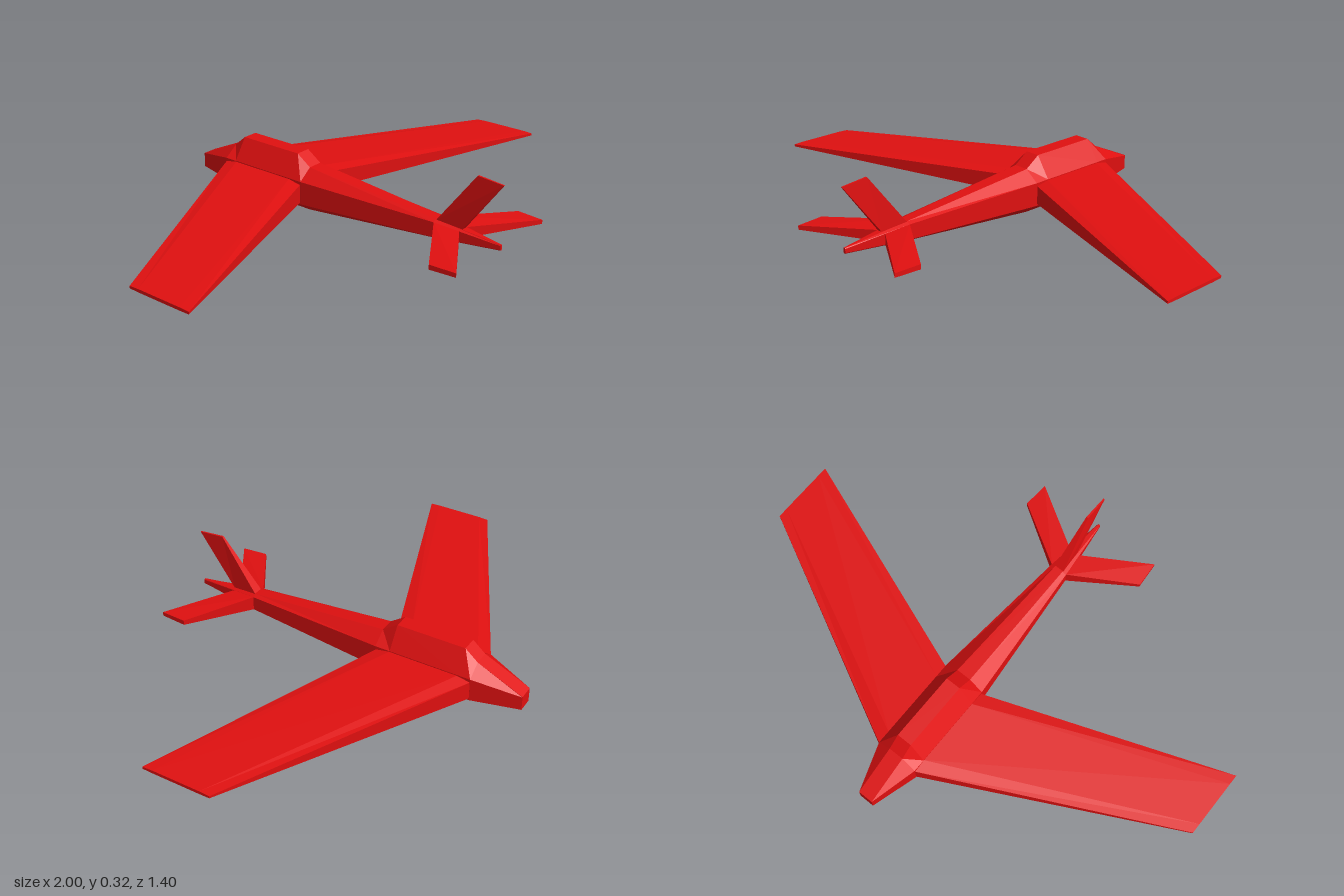
import * as THREE from 'three';

// Skins a list of closed rings and caps both ends; rings run anticlockwise seen from the far end.
function loft(rings, flip = false) {
  const pos = [];
  const tri = (a, b, c) => pos.push(...a, ...(flip ? c : b), ...(flip ? b : c));
  const n = rings[0].length;
  for (let i = 0; i < rings.length - 1; i++) {
    for (let j = 0; j < n; j++) {
      const k = (j + 1) % n;
      const [a, b, c, d] = [rings[i][j], rings[i][k], rings[i + 1][k], rings[i + 1][j]];
      tri(a, b, c);
      tri(a, c, d);
    }
  }
  const first = rings[0], last = rings[rings.length - 1];
  for (let j = 1; j < n - 1; j++) {
    tri(first[0], first[j + 1], first[j]);
    tri(last[0], last[j], last[j + 1]);
  }
  const geo = new THREE.BufferGeometry();
  geo.setAttribute('position', new THREE.Float32BufferAttribute(pos, 3));
  geo.computeVertexNormals();
  return geo;
}

// Eight-sided body section: flat bottom, upright flanks, sloping shoulders, flat top.
function bodyRing([z, flatHalf, sideHalf, bottom, sideLow, sideHigh, top]) {
  const right = [[flatHalf, bottom], [sideHalf, sideLow], [sideHalf, sideHigh], [flatHalf, top]];
  const left = right.map(([x, y]) => [-x, y]).reverse();
  return [...right, ...left].map(([x, y]) => [x, y, z]);
}

// Wing section from [x, z, lowY, highY] stations listed front to back.
function wingRing(stations) {
  const upper = stations.map(([x, z, , hi]) => [x, hi, z]);
  const lower = stations.map(([x, z, lo]) => [x, lo, z]).reverse();
  return [...upper, ...lower];
}

export function createModel() {
  const model = new THREE.Group();
  model.name = 'airplane';
  const red = new THREE.MeshStandardMaterial({ color: 0xe01010, flatShading: true });
  red.name = 'red';

  const add = (name, geo) => {
    const mesh = new THREE.Mesh(geo, red);
    mesh.name = name;
    model.add(mesh);
  };

  // Fuselage from nose to tail, with the raised cabin in the middle
  add('fuselage', loft([
    [-0.70, 0.03, 0.03, 0.033, 0.033, 0.088, 0.09],
    [-0.52, 0.03, 0.085, 0, 0.04, 0.132, 0.172],
    [-0.47, 0.03, 0.085, 0, 0.04, 0.132, 0.215],
    [-0.195, 0.03, 0.085, 0, 0.04, 0.132, 0.215],
    [-0.135, 0.03, 0.085, 0, 0.04, 0.132, 0.174],
    [0.44, 0.018, 0.035, 0.05, 0.06, 0.117, 0.124],
    [0.70, 0.003, 0.005, 0.075, 0.078, 0.093, 0.096],
  ].map(bodyRing)));

  // Swept main wings and tailplanes, mirrored
  const wingRoot = [
    [0.08, -0.522, 0.047, 0.119], [0.08, -0.47, 0.041, 0.129],
    [0.08, -0.195, 0.041, 0.129], [0.08, -0.14, 0.047, 0.119],
  ];
  const wingTip = [
    [1, -0.06, 0.083, 0.092], [1, -0.02, 0.082, 0.094],
    [1, 0.17, 0.082, 0.094], [1, 0.21, 0.083, 0.092],
  ];
  const tailRoot = [[0.033, 0.44, 0.06, 0.117], [0.02, 0.54, 0.066, 0.108]];
  const tailTip = [[0.277, 0.595, 0.077, 0.096], [0.27, 0.70, 0.078, 0.094]];
  for (const side of [1, -1]) {
    const label = side > 0 ? 'left' : 'right';
    const ring = (s) => wingRing(s.map(([x, ...rest]) => [x * side, ...rest]));
    add(label + 'Wing', loft([ring(wingRoot), ring(wingTip)], side < 0));
    add(label + 'Tailplane', loft([ring(tailRoot), ring(tailTip)], side < 0));
  }

  // Swept upright fin
  const finRing = (zFront, yFront, zBack, yBack, halfFront, halfBack) => [
    [halfBack, yBack, zBack], [halfFront, yFront, zFront],
    [-halfFront, yFront, zFront], [-halfBack, yBack, zBack],
  ];
  add('fin', loft([
    finRing(0.44, 0.12, 0.545, 0.11, 0.02, 0.011),
    finRing(0.595, 0.325, 0.70, 0.316, 0.004, 0.003),
  ]));

  return model;
}
